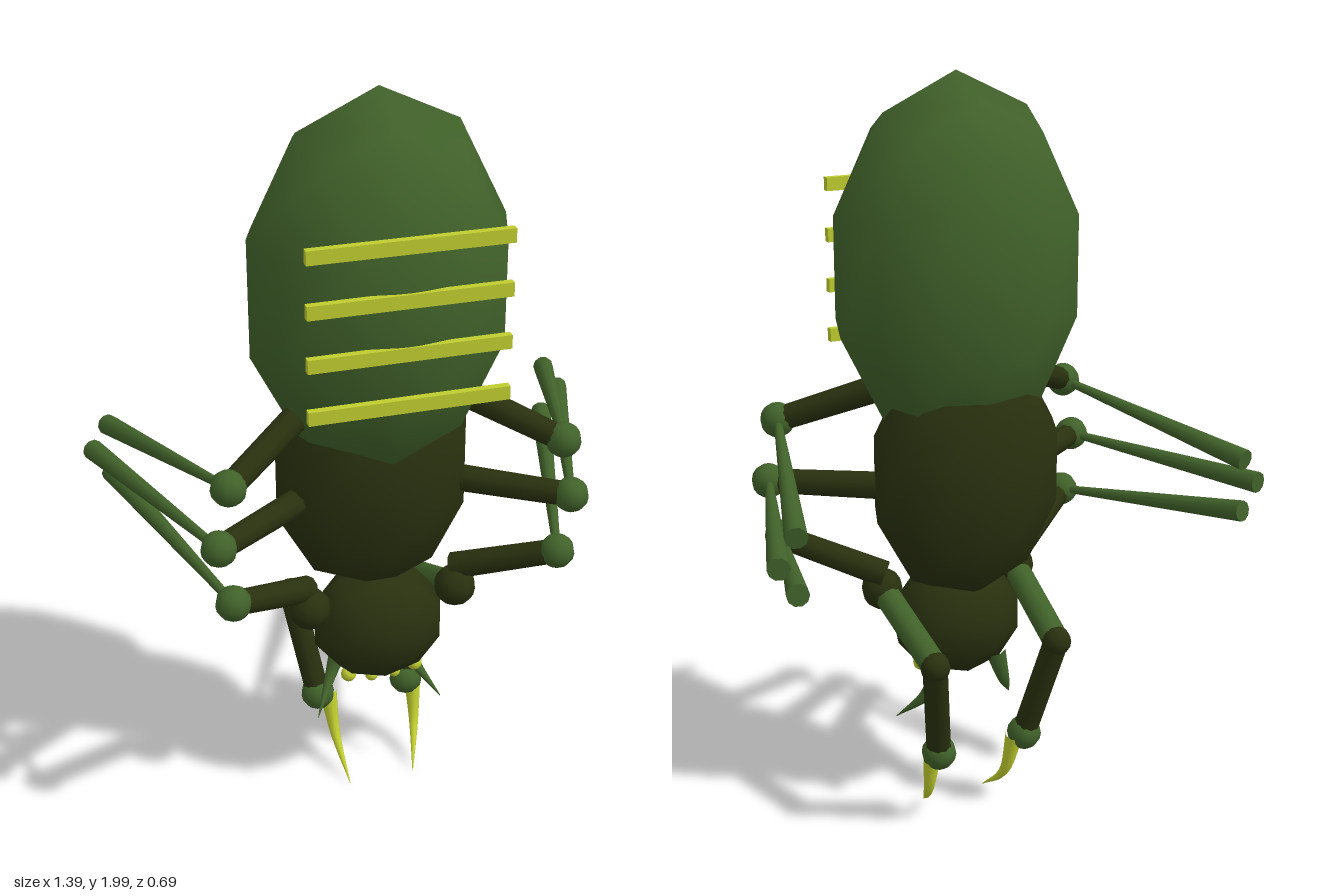
import * as THREE from 'three';

const material = (name, color) => new THREE.MeshStandardMaterial({ name, color });

export function createModel() {
  const model = new THREE.Group();
  model.name = 'insect';
  const green = material('shell green', 0x41622a);
  const dark = material('dark olive', 0x29310f);
  const yellow = material('acid yellow', 0xc0cd2f);

  const add = (name, geometry, mat, pos = [0, 0, 0]) => {
    const mesh = new THREE.Mesh(geometry, mat);
    mesh.name = name;
    mesh.position.set(...pos);
    model.add(mesh);
    return mesh;
  };

  // Faceted ellipsoid with its poles on the z axis and a corner at the top
  const body = (name, mat, pos, size) => {
    const g = new THREE.SphereGeometry(1, 10, 6, Math.PI / 2);
    g.rotateX(Math.PI / 2);
    g.scale(...size);
    add(name, g, mat, pos);
  };

  const ball = (name, mat, pos, r) => add(name, new THREE.SphereGeometry(r, 10, 8), mat, pos);

  // Straight limb from a to b, with a radius at each end
  const limb = (name, mat, a, b, ra, rb) => {
    const p = new THREE.Vector3(...a), q = new THREE.Vector3(...b);
    const dir = q.clone().sub(p);
    const mesh = add(name, new THREE.CylinderGeometry(rb, ra, dir.length(), 10), mat);
    mesh.position.copy(p).add(q).multiplyScalar(0.5);
    mesh.quaternion.setFromUnitVectors(new THREE.Vector3(0, 1, 0), dir.normalize());
  };

  // Curved horn that narrows to a point
  const horn = (name, mat, points, r) => {
    const curve = new THREE.CatmullRomCurve3(points.map(p => new THREE.Vector3(...p)));
    const rings = 10, sides = 8;
    const g = new THREE.TubeGeometry(curve, rings, r, sides);
    const pos = g.attributes.position, v = new THREE.Vector3();
    for (let i = 0; i < pos.count; i++) {
      const t = Math.floor(i / (sides + 1)) / rings;
      v.fromBufferAttribute(pos, i).lerp(curve.getPointAt(t), t * 0.97);
      pos.setXYZ(i, v.x, v.y, v.z);
    }
    add(name, g, mat);
  };

  // Body
  body('abdomen', green, [0, 1.507, 0.08], [0.342, 0.493, 0.265]);
  body('thorax', dark, [0, 0.98, 0.028], [0.27, 0.356, 0.18]);
  body('head', dark, [0, 0.547, 0.085], [0.184, 0.165, 0.138]);

  // Stripe bars across the abdomen
  for (let i = 0; i < 4; i++) {
    add('abdomenStripe', new THREE.BoxGeometry(0.5, 0.035, 0.02), yellow, [0, 1.302 + i * 0.133, 0.332]);
  }

  // Hip, knee and foot of each walking leg
  const legs = [
    [[0.2, 1.21, 0.105], [0.43, 1.11, 0.265], [0.625, 1.015, -0.34]],
    [[0.21, 0.947, 0.09], [0.46, 0.947, 0.265], [0.67, 0.947, -0.34]],
    [[0.2, 0.69, 0.11], [0.43, 0.785, 0.265], [0.625, 0.875, -0.34]],
  ];

  for (const [side, s] of [['left', 1], ['right', -1]]) {
    const m = ([x, y, z]) => [x * s, y, z];

    for (const [hip, knee, foot] of legs) {
      limb(side + 'Thigh', dark, m(hip), m(knee), 0.036, 0.032);
      ball(side + 'Knee', green, m(knee), 0.046);
      limb(side + 'Shin', green, m(knee), m(foot), 0.01, 0.028);
    }

    // Folded front arm
    const shoulder = [0.2, 0.642, 0.13], elbow = [0.18, 0.52, -0.147], wrist = [0.13, 0.227, -0.065];
    ball(side + 'Shoulder', dark, m(shoulder), 0.056);
    limb(side + 'UpperArm', green, m(shoulder), m(elbow), 0.036, 0.036);
    ball(side + 'Elbow', dark, m(elbow), 0.04);
    limb(side + 'Forearm', dark, m(elbow), m(wrist), 0.034, 0.034);
    ball(side + 'Wrist', green, m(wrist), 0.047);

    // Mandible and eyes
    horn(side + 'Mandible', green,
      [[0.085, 0.45, 0.02], [0.115, 0.36, 0.03], [0.175, 0.27, 0.105]].map(m), 0.03);
    ball(side + 'OuterEye', yellow, m([0.093, 0.408, 0.12]), 0.021);
    ball(side + 'InnerEye', yellow, m([0.032, 0.4, 0.13]), 0.017);
  }

  // Claws, both swept the same way
  horn('leftClaw', yellow, [[0.15, 0.225, -0.065], [0.143, 0.1, -0.025], [0.105, 0.008, 0.085]], 0.025);
  horn('rightClaw', yellow, [[-0.1, 0.225, -0.065], [-0.09, 0.1, -0.025], [-0.08, 0.008, 0.085]], 0.025);

  return model;
}
